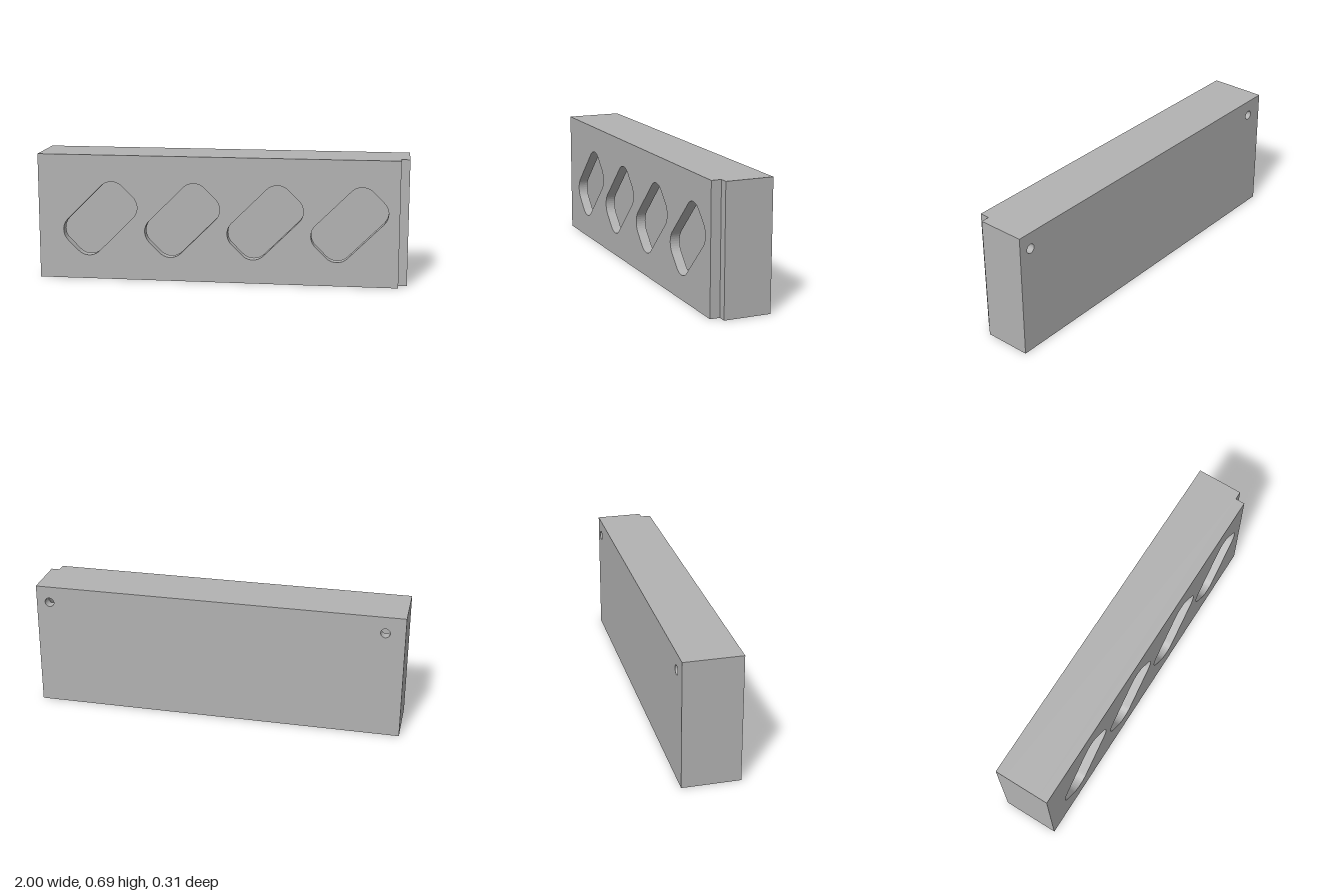
import * as THREE from 'three';

const H = 0.685, D = 0.153, ZI = 0.1; // height, half depth, half cavity depth
const XL = -0.94, XR = 0.946, TOP = 0.635; // cavity limits

const rectShape = (x0, y0, x1, y1) => new THREE.Shape([
  new THREE.Vector2(x0, y0), new THREE.Vector2(x1, y0),
  new THREE.Vector2(x1, y1), new THREE.Vector2(x0, y1),
]);

// Rounded slot leaning 45 degrees to the right
function slantedSlot(cx, cy, length, width, r) {
  const a = Math.PI / 4, pts = [];
  const corners = [[1, 1], [-1, 1], [-1, -1], [1, -1]];
  corners.forEach(([sx, sy], q) => {
    for (let i = 0; i <= 10; i++) {
      const t = (q + i / 10) * Math.PI / 2;
      const p = new THREE.Vector2(
        sx * (length / 2 - r) + r * Math.cos(t),
        sy * (width / 2 - r) + r * Math.sin(t),
      );
      pts.push(p.rotateAround(new THREE.Vector2(), a).add(new THREE.Vector2(cx, cy)));
    }
  });
  return new THREE.Path(pts);
}

export function createModel() {
  const group = new THREE.Group();
  const grey = new THREE.MeshStandardMaterial({ color: 0xb2b2b2 });
  grey.name = 'grey';

  const addSlab = (name, shape, z0, z1) => {
    const geo = new THREE.ExtrudeGeometry(shape, { depth: z1 - z0, bevelEnabled: false, curveSegments: 24 });
    geo.translate(0, 0, z0);
    const mesh = new THREE.Mesh(geo, grey);
    mesh.name = name;
    group.add(mesh);
  };

  // Front panel with four slots, stopping short to leave the corner rebate
  const front = rectShape(-1, 0, 0.954, H);
  for (let i = 0; i < 4; i++) front.holes.push(slantedSlot(-0.66 + i * 0.45, 0.335, 0.43, 0.245, 0.082));
  addSlab('frontPanel', front, ZI, D);

  // Side and top walls around a cavity open at the bottom
  const frame = new THREE.Shape([
    [-1, 0], [XL, 0], [XL, TOP], [XR, TOP], [XR, 0], [1, 0], [1, H], [-1, H],
  ].map(([x, y]) => new THREE.Vector2(x, y)));
  addSlab('sideAndTopWalls', frame, -ZI, ZI);

  // Back panel with two mounting holes
  const back = rectShape(-1, 0, 1, H);
  for (const x of [-0.895, 0.928]) {
    const hole = new THREE.Path();
    hole.absarc(x, 0.595, 0.025, 0, Math.PI * 2, true);
    back.holes.push(hole);
  }
  addSlab('backPanel', back, -D, -ZI);

  return group;
}
